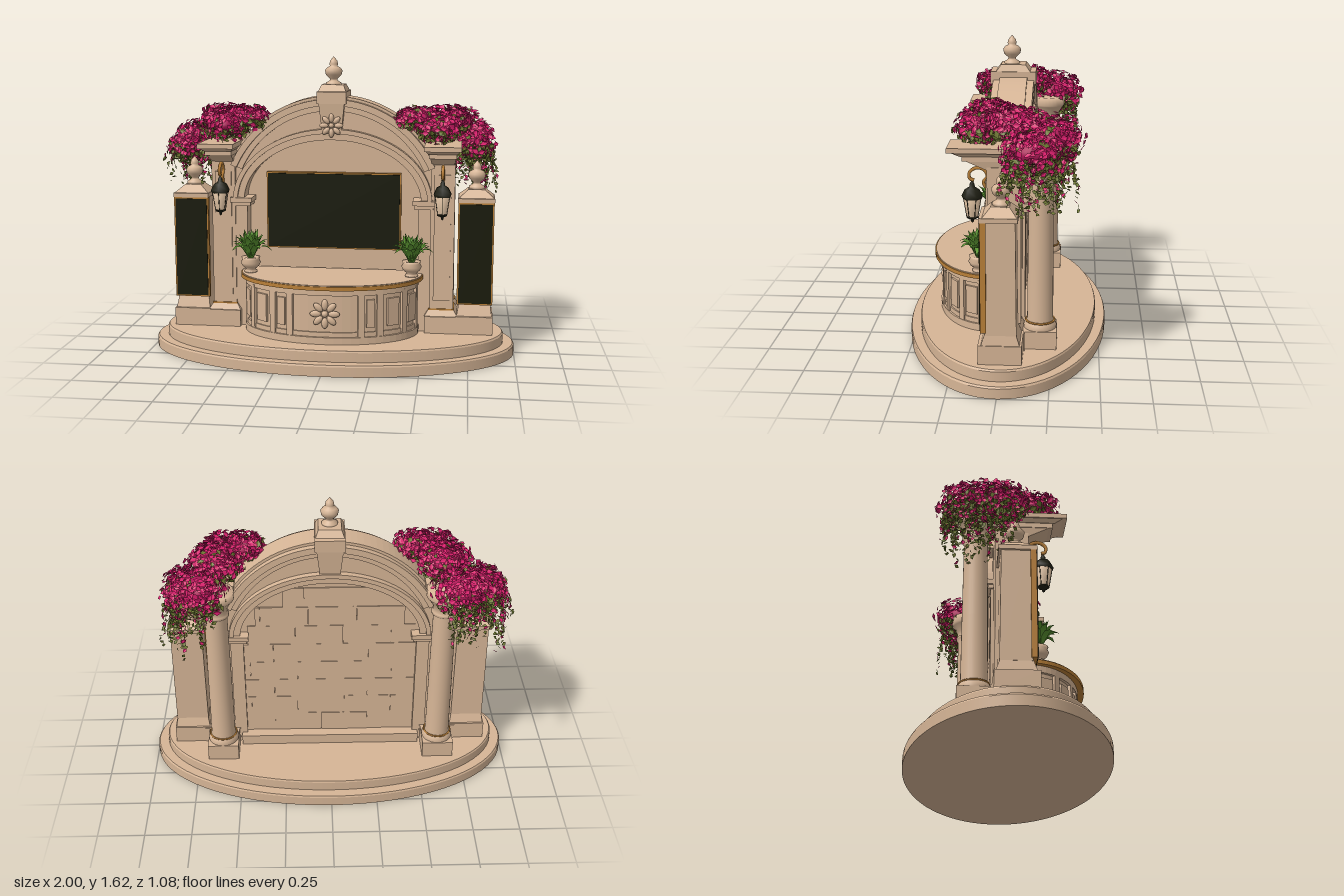
import * as THREE from 'three';

const mat = (name, color, double) => {
  const m = new THREE.MeshStandardMaterial({ color });
  m.name = name;
  if (double) m.side = THREE.DoubleSide;
  return m;
};

// Small seeded random generator
let seed = 7;
const rnd = () => ((seed = (seed * 16807) % 2147483647) / 2147483647);
const spread = (a) => (rnd() * 2 - 1) * a;
const randomDir = () => new THREE.Vector3(spread(1), spread(1), spread(1)).normalize();

export function createModel() {
  seed = 7;
  const M = {
    stone: mat('stone', 0xd6b596), gold: mat('agedGold', 0xba8038), panel: mat('darkPanel', 0x181a0a),
    iron: mat('lanternIron', 0x1e1e12), glass: mat('lanternGlass', 0xe2c4a4),
    plant: mat('plantGreen', 0x5c9632, true), vine: mat('vineGreen', 0x6e7832, true),
    petal: mat('petalMagenta', 0xd81e6c, true), shade: mat('innerBlossom', 0xac1856),
  };
  const root = new THREE.Group();
  root.name = 'gardenShrineStage';

  const add = (name, geo, m, x = 0, y = 0, z = 0, parent = root) => {
    const mesh = new THREE.Mesh(geo, m);
    mesh.name = name;
    mesh.position.set(x, y, z);
    parent.add(mesh);
    return mesh;
  };
  // Box given by its limits
  const box = (name, m, x0, x1, y0, y1, z0, z1, parent = root) =>
    add(name, new THREE.BoxGeometry(x1 - x0, y1 - y0, z1 - z0), m, (x0 + x1) / 2, (y0 + y1) / 2, (z0 + z1) / 2, parent);
  // Tapered block: bottom and top half sizes, with the top shifted in z
  const taper = (name, x, y0, y1, z, wb, db, wt, dt, shift = 0, parent = root) => {
    const g = new THREE.BoxGeometry(2, y1 - y0, 2).toNonIndexed();
    const p = g.attributes.position;
    for (let i = 0; i < p.count; i++) {
      const top = p.getY(i) > 0;
      p.setX(i, p.getX(i) * (top ? wt : wb));
      p.setZ(i, p.getZ(i) * (top ? dt : db) + (top ? shift : 0));
    }
    g.computeVertexNormals();
    return add(name, g, M.stone, x, (y0 + y1) / 2, z, parent);
  };
  const lathe = (name, pts, m, x, y, z, parent = root, seg = 24) =>
    add(name, new THREE.LatheGeometry(pts.map(([r, h]) => new THREE.Vector2(r, h)), seg), m, x, y, z, parent);
  const extrude = (pts, depth) => new THREE.ExtrudeGeometry(new THREE.Shape(pts), { depth, bevelEnabled: false });
  const arc = (rx, ry, cy, a0, n = 40) => Array.from({ length: n + 1 }, (_, i) => {
    const a = a0 + (Math.PI - 2 * a0) * i / n;
    return new THREE.Vector2(rx * Math.cos(a), cy + ry * Math.sin(a));
  });
  const V = (x, y) => new THREE.Vector2(x, y);

  // Oval stepped base
  const tier = (name, rx, rz, y, h) => {
    const m = lathe(name, [[0, 0], [1, 0], [1, 0], [1, h * 0.85], [1, h * 0.85], [0.993, h], [0.993, h], [0, h]], M.stone, 0, y, 0, root, 72);
    m.scale.set(rx, 1, rz);
  };
  tier('lowerStep', 1, 0.54, 0, 0.062);
  tier('upperStep', 0.94, 0.485, 0.062, 0.06);

  // Arch: spandrel, mouldings and filling wall
  add('archSpandrel', extrude([V(0.56, 0.8), ...arc(0.6, 0.6, 0.78, 0.4), V(-0.56, 0.8), V(-0.5, 0.8),
    ...arc(0.5, 0.36, 0.82, 0).reverse(), V(0.5, 0.8)], 0.15), M.stone, 0, 0, -0.105);
  const band = (name, ro, ri, c, squash, a0, z0, z1) => add(name, extrude([...arc(ro, ro - squash, c, a0),
    ...arc(ri, ri - squash, c, a0).reverse()], z1 - z0), M.stone, 0, 0, z0);
  band('crownMoulding', 0.625, 0.605, 0.78, 0, 0.42, -0.1, 0.045);
  band('outerMoulding', 0.61, 0.575, 0.78, 0, 0.42, -0.135, 0.08);
  band('middleMoulding', 0.575, 0.545, 0.78, 0, 0.42, -0.12, 0.06);
  band('innerArchRing', 0.535, 0.485, 0.83, 0.145, 0, -0.125, 0.07);
  band('innerArchLip', 0.545, 0.52, 0.83, 0.145, 0, -0.14, 0.085);
  add('backWall', extrude([V(0.53, 0.12), V(0.52, 0.82), ...arc(0.5, 0.36, 0.82, 0), V(-0.53, 0.12)], 0.05), M.stone, 0, 0, -0.085);
  box('wallPlinth', M.stone, -0.5, 0.5, 0.12, 0.18, -0.15, -0.01);
  // Stone blocks on the rear of the wall
  for (let r = 0; r < 8; r++) {
    const y0 = 0.18 + r * 0.118, y1 = Math.min(y0 + 0.117, 1.15);
    const half = y1 < 0.82 ? 0.47 : 0.47 * Math.sqrt(Math.max(0, 1 - ((y1 - 0.82) / 0.36) ** 2));
    for (let x = -half - (r % 2) * 0.13; x < half; x += 0.26) {
      const a = Math.max(x, -half), b = Math.min(x + 0.259, half);
      if (b - a > 0.02) box('wallBlock', M.stone, a, b, y0, y1, -0.089 - rnd() * 0.005, -0.08);
    }
  }

  // Flower rosette facing forward
  const rosette = (name, y, z, r) => {
    const g = new THREE.Group();
    g.name = name;
    g.position.set(0, y, z);
    root.add(g);
    for (let i = 0; i < 8; i++) {
      const a = i * Math.PI / 4;
      const p = add('rosettePetal', new THREE.SphereGeometry(1, 10, 8), M.stone, -Math.sin(a) * r * 0.62, Math.cos(a) * r * 0.62, 0, g);
      p.scale.set(r * 0.22, r * 0.38, 0.012);
      p.rotation.z = a;
    }
    add('rosetteCentre', new THREE.SphereGeometry(r * 0.22, 12, 8), M.stone, 0, 0, 0, g);
  };

  // Keystone with urn finial
  taper('keystone', 0, 1.19, 1.37, -0.025, 0.05, 0.1, 0.07, 0.115);
  box('keystoneCap', M.stone, -0.08, 0.08, 1.365, 1.43, -0.145, 0.095);
  taper('keystoneTop', 0, 1.43, 1.465, -0.025, 0.075, 0.09, 0.06, 0.065);
  rosette('keystoneRosette', 1.25, 0.09, 0.065);
  const finial = [[0, 0], [0.042, 0], [0.042, 0.018], [0.022, 0.03], [0.02, 0.04], [0.043, 0.062], [0.048, 0.085],
    [0.036, 0.1], [0.02, 0.108], [0.024, 0.118], [0.02, 0.135], [0, 0.16]];
  lathe('topFinial', finial, M.stone, 0, 1.455, -0.015);

  // Framed screen
  box('screenFrame', M.gold, -0.372, 0.372, 0.557, 0.982, -0.035, -0.004);
  box('screen', M.panel, -0.365, 0.365, 0.564, 0.975, -0.02, 0.001);

  // Pointed folded leaf, its face turned roughly along a direction
  const leaf = (list, x, y, z, size, facing) => {
    const n = facing.clone().addScaledVector(randomDir(), 0.7).normalize();
    const u = randomDir().cross(n).normalize(), w = u.clone().cross(n);
    const c = new THREE.Vector3(x, y, z);
    const A = c.clone().addScaledVector(u, size), B = c.clone().addScaledVector(u, -size);
    const C = c.clone().addScaledVector(w, size * 0.7).addScaledVector(n, size * 0.2);
    const D = c.clone().addScaledVector(w, -size * 0.7).addScaledVector(n, size * 0.2);
    for (const p of [A, C, B, A, B, D]) list.push(p.x, p.y, p.z);
  };

  for (const s of [-1, 1]) {
    const side = new THREE.Group();
    side.name = s > 0 ? 'leftSide' : 'rightSide';
    root.add(side);
    const X = s * 0.6;
    const sym = (name, m, cx, hw, y0, y1, z0, z1) => box(name, m, s * cx - hw, s * cx + hw, y0, y1, z0, z1, side);

    // Inner jamb and impost
    sym('archJamb', M.stone, 0.505, 0.035, 0.12, 0.81, -0.115, 0.06);
    sym('impost', M.stone, 0.5, 0.05, 0.8, 0.822, -0.13, 0.075);
    sym('impostTop', M.stone, 0.5, 0.06, 0.822, 0.848, -0.145, 0.09);

    // Front pilaster with projecting capital
    sym('pilasterBase', M.stone, 0.61, 0.1, 0.12, 0.215, -0.12, 0.1);
    taper('pilasterFoot', X, 0.215, 0.25, -0.01, 0.09, 0.1, 0.068, 0.08, 0, side);
    sym('pilasterFillet', M.gold, 0.6, 0.07, 0.246, 0.254, -0.08, 0.074);
    sym('pilaster', M.stone, 0.6, 0.065, 0.25, 1.06, -0.1, 0.068);
    sym('pilasterFace', M.stone, 0.6, 0.045, 0.3, 0.99, 0, 0.076);
    taper('capitalBracket', X, 1.045, 1.09, -0.015, 0.06, 0.085, 0.068, 0.135, 0.05, side);
    sym('capitalBand', M.stone, 0.6, 0.072, 1.09, 1.115, -0.12, 0.19);
    taper('capitalFlare', X, 1.115, 1.135, 0.04, 0.075, 0.16, 0.09, 0.18, 0.02, side);
    sym('capitalSlab', M.stone, 0.6, 0.097, 1.135, 1.16, -0.13, 0.262);

    // Round rear column
    sym('columnPlinth', M.stone, 0.6, 0.085, 0.12, 0.215, -0.28, -0.11);
    lathe('columnShaft', [[0.082, 0.21], [0.084, 0.225], [0.078, 0.245], [0.066, 0.26], [0.064, 0.6], [0.06, 1.02],
      [0.07, 1.03], [0.07, 1.045], [0.062, 1.05], [0.066, 1.08], [0.09, 1.12], [0.1, 1.13], [0.1, 1.175], [0, 1.175]], M.stone, X, 0, -0.195, side, 28);
    const ring = add('columnRing', new THREE.TorusGeometry(0.073, 0.005, 6, 28), M.gold, X, 0.253, -0.195, side);
    ring.rotation.x = Math.PI / 2;

    // Outer pier with framed panel, cap and urn
    sym('pierBase', M.stone, 0.78, 0.1, 0.12, 0.22, -0.115, 0.1);
    taper('pierFoot', s * 0.78, 0.22, 0.28, -0.01, 0.095, 0.095, 0.085, 0.075, 0, side);
    taper('pierShaft', s * 0.78, 0.27, 0.86, -0.012, 0.088, 0.077, 0.085, 0.07, 0, side);
    sym('panelFrame', M.gold, 0.78, 0.096, 0.285, 0.845, 0.058, 0.087);
    sym('panelFace', M.panel, 0.78, 0.088, 0.293, 0.837, 0.08, 0.091);
    sym('pierCap', M.stone, 0.78, 0.098, 0.845, 0.868, -0.095, 0.092);
    taper('pierCapSlope', s * 0.78, 0.868, 0.91, -0.008, 0.094, 0.084, 0.045, 0.045, 0, side);
    lathe('pierFinial', finial, M.stone, s * 0.78, 0.905, -0.01, side);

    // Lantern on a scroll bracket
    const scroll = new THREE.CatmullRomCurve3([[0.93, 0.07], [0.97, 0.09], [1.0, 0.07], [1.035, 0.09], [1.04, 0.13],
      [1.015, 0.16], [0.985, 0.155], [0.98, 0.135]].map(([y, z]) => new THREE.Vector3(X, y, z)));
    add('lanternBracket', new THREE.TubeGeometry(scroll, 32, 0.009, 6), M.gold, 0, 0, 0, side);
    lathe('lanternRoof', [[0.048, 0.885], [0.053, 0.9], [0.036, 0.932], [0.014, 0.945], [0.012, 0.96], [0, 0.98]], M.iron, X, 0, 0.146, side, 6);
    lathe('lanternGlass', [[0.028, 0.79], [0.045, 0.892], [0, 0.892]], M.glass, X, 0, 0.146, side, 6);
    lathe('lanternFoot', [[0, 0.758], [0.008, 0.765], [0.008, 0.775], [0.03, 0.785], [0.03, 0.793], [0, 0.793]], M.iron, X, 0, 0.146, side, 6);
    for (let i = 0; i < 6; i++) {
      const a = i * Math.PI / 3, c = Math.cos(a), n = Math.sin(a);
      const bar = new THREE.LineCurve3(new THREE.Vector3(X + n * 0.028, 0.79, 0.146 + c * 0.028), new THREE.Vector3(X + n * 0.045, 0.892, 0.146 + c * 0.045));
      add('lanternBar', new THREE.TubeGeometry(bar, 1, 0.002, 4), M.iron, 0, 0, 0, side);
    }

    // Potted plant with arching leaves
    const px = s * 0.44, pz = 0.13;
    lathe('planter', [[0, 0], [0.035, 0], [0.035, 0.01], [0.024, 0.018], [0.045, 0.035], [0.055, 0.055], [0.046, 0.072],
      [0.052, 0.085], [0.036, 0.085], [0, 0.075]], M.stone, px, 0.445, pz, side);
    const pos = [], idx = [];
    for (let i = 0; i < 40; i++) {
      const a = i * 2.4, out = 1 - i / 40, reach = 0.02 + 0.09 * out + rnd() * 0.01, rise = 0.15 - 0.1 * out * out + spread(0.012);
      const b = pos.length / 3;
      for (let k = 0; k <= 4; k++) {
        const t = k / 4, r = 0.008 + reach * t, h = rise * t + 0.05 * out * Math.sin(Math.PI * t);
        const w = 0.02 * Math.sin(Math.PI * (0.2 + 0.8 * t));
        for (const q of [-w, w]) pos.push(Math.cos(a) * r - Math.sin(a) * q, h, Math.sin(a) * r + Math.cos(a) * q);
        if (k) { const j = b + k * 2; idx.push(j - 2, j - 1, j, j - 1, j + 1, j); }
      }
    }
    const leaves = new THREE.BufferGeometry();
    leaves.setAttribute('position', new THREE.Float32BufferAttribute(pos, 3));
    leaves.setIndex(idx);
    leaves.computeVertexNormals();
    add('plantLeaves', leaves, M.plant, px, 0.522, pz, side);

    // Blossom mass: [x, y, z, rx, ry, rz]
    const blobs = [[0.46, 1.29, 0.07, 0.11, 0.06, 0.11], [0.57, 1.25, 0.1, 0.11, 0.08, 0.13], [0.6, 1.27, -0.06, 0.14, 0.08, 0.15]];
    if (s > 0) blobs.push([0.67, 1.21, -0.24, 0.13, 0.12, 0.15], [0.77, 1.16, -0.16, 0.1, 0.1, 0.15]);
    else blobs.push([0.67, 1.19, -0.24, 0.14, 0.11, 0.15], [0.78, 1.17, -0.14, 0.12, 0.08, 0.15], [0.84, 1.11, -0.08, 0.09, 0.08, 0.12]);
    const petals = [], greens = [];
    for (const [x, y, z, rx, ry, rz] of blobs) {
      const core = add('blossomCore', new THREE.IcosahedronGeometry(1, 2), M.shade, s * x, y, z, side);
      core.scale.set(rx * 0.6, ry * 0.55, rz * 0.6);
      for (let i = 0; i < 560; i++) {
        const d = randomDir(), r = 0.64 + rnd() * 0.52;
        const list = rnd() < (d.y < -0.2 ? 0.6 : 0.04) ? greens : petals;
        leaf(list, s * (x + d.x * rx * r), y + d.y * ry * r, z + d.z * rz * r, 0.014 + rnd() * 0.01, new THREE.Vector3(s * d.x, d.y + 0.3, d.z));
      }
    }
    // Hanging vines, still flowering near the top
    for (let i = 0; i < 64; i++) {
      const x = 0.6 + rnd() * (s < 0 ? 0.32 : 0.27), z = -0.02 - rnd() * 0.34, len = 0.08 + rnd() * 0.19;
      const dx = rnd() * 0.06 - 0.02, dz = spread(0.07);
      for (let k = 0; k < 13; k++) {
        const t = k / 12, list = rnd() < 0.4 - 0.25 * t ? petals : greens;
        leaf(list, s * (x + dx * t + spread(0.012)), 1.14 - len * t, z + dz * t + spread(0.012), 0.018 - 0.004 * t, new THREE.Vector3(s * (x - 0.65) * 3, 0.2, z + 0.15));
      }
    }
    for (const [name, list, m] of [['blossoms', petals, M.petal], ['vines', greens, M.vine]]) {
      const g = new THREE.BufferGeometry();
      g.setAttribute('position', new THREE.Float32BufferAttribute(list, 3));
      g.computeVertexNormals();
      add(name, g, m, 0, 0, 0, side);
    }
  }

  // Bow-fronted counter
  const bow = (name, m, rx, rz, y0, y1) => {
    const g = extrude([V(rx, -0.01), ...arc(rx, rz, 0.08, 0, 32), V(-rx, -0.01)], y1 - y0);
    g.rotateX(Math.PI / 2);
    return add(name, g, m, 0, y1, 0);
  };
  bow('counterBody', M.stone, 0.46, 0.28, 0.12, 0.42);
  bow('counterBase', M.stone, 0.478, 0.3, 0.12, 0.16);
  bow('counterLowerRail', M.stone, 0.468, 0.288, 0.16, 0.185);
  bow('counterUpperRail', M.stone, 0.475, 0.297, 0.385, 0.42);
  bow('counterEdge', M.gold, 0.5, 0.33, 0.42, 0.441);
  bow('counterTop', M.stone, 0.494, 0.324, 0.43, 0.446);
  // Counter pilasters and raised panels set around the bow
  const onBow = (name, a, w, y0, y1, d) => {
    const m = add(name, new THREE.BoxGeometry(w, y1 - y0, d), M.stone, 0.46 * Math.sin(a), (y0 + y1) / 2, 0.08 + 0.28 * Math.cos(a));
    m.rotation.y = Math.atan2(Math.sin(a) / 0.46, Math.cos(a) / 0.28);
  };
  for (const s of [-1, 1]) {
    for (const a of [0.42, 0.66, 1.06, 1.45]) onBow('counterPilaster', s * a, 0.035, 0.16, 0.4, 0.03);
    for (const a of [0.54, 0.86, 1.26]) onBow('counterPanel', s * a, a > 0.6 ? 0.07 : 0.045, 0.21, 0.36, 0.022);
  }
  rosette('counterRosette', 0.285, 0.367, 0.08);

  return root;
}
